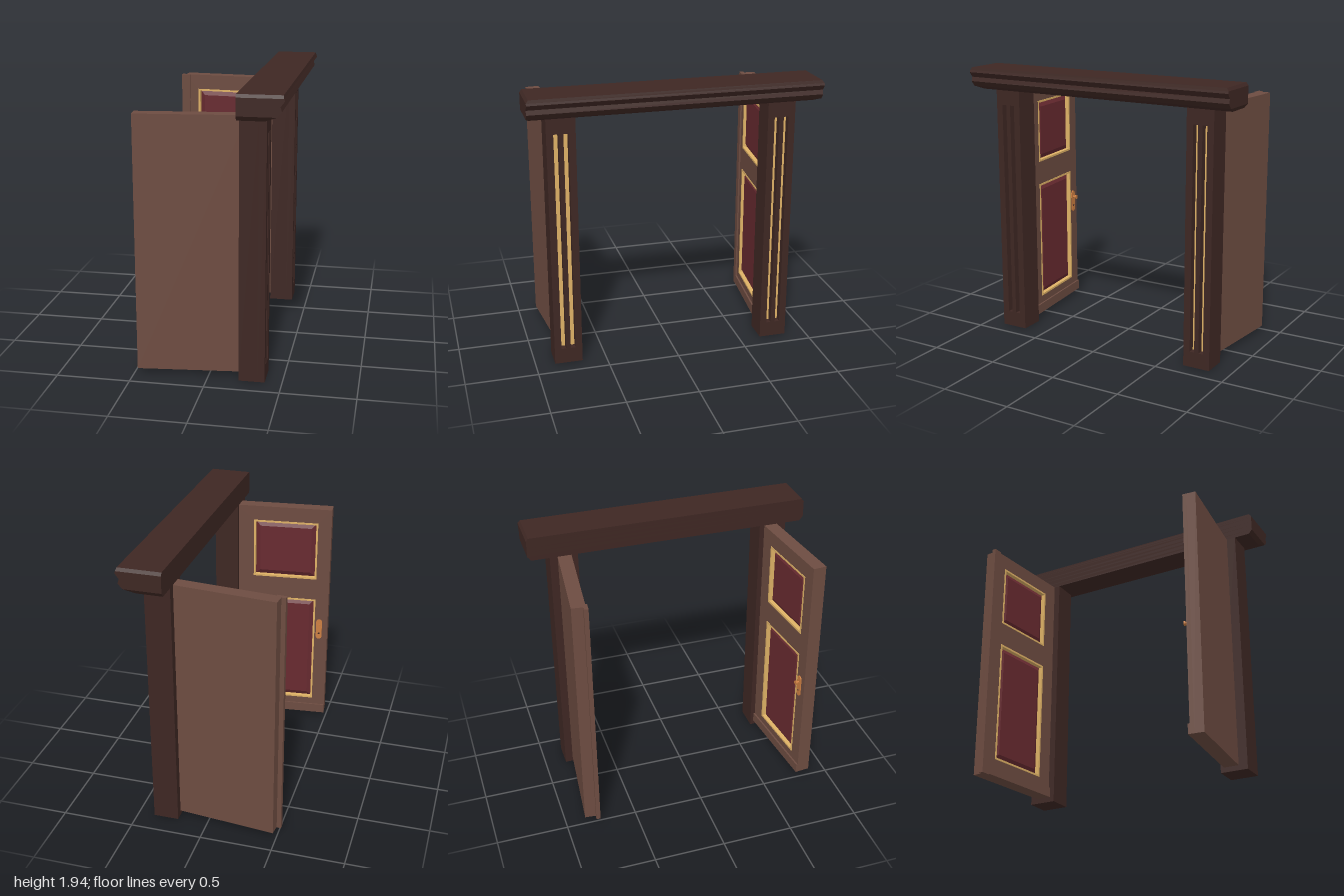
import * as THREE from 'three';

const mat = (color) => new THREE.MeshStandardMaterial({ color, flatShading: true });
const darkWood = mat(0x3e2723), wood = mat(0x6d4c41), red = mat(0x682a30);
const gold = mat(0xdfb266), bronze = mat(0xcd7f42);

function add(parent, name, geometry, material, x = 0, y = 0, z = 0) {
  const mesh = new THREE.Mesh(geometry, material);
  mesh.name = name;
  mesh.position.set(x, y, z);
  parent.add(mesh);
  return mesh;
}

// Box given by its limits on each axis
function addBox(parent, name, material, [x0, x1], [y0, y1], [z0, z1]) {
  return add(parent, name, new THREE.BoxGeometry(Math.abs(x1 - x0), y1 - y0, z1 - z0), material,
    (x0 + x1) / 2, (y0 + y1) / 2, (z0 + z1) / 2);
}

// Stack of rectangles: each level is [y, xMin, xMax, halfDepth]
function rectLoft(levels) {
  const pos = [], idx = [];
  for (const [y, x0, x1, h] of levels) pos.push(x0, y, h, x1, y, h, x1, y, -h, x0, y, -h);
  for (let i = 0; i < levels.length - 1; i++) {
    for (let j = 0; j < 4; j++) {
      const a = i * 4 + j, b = i * 4 + (j + 1) % 4;
      idx.push(a, b, b + 4, a, b + 4, a + 4);
    }
  }
  const t = (levels.length - 1) * 4;
  idx.push(0, 2, 1, 0, 3, 2, t, t + 1, t + 2, t, t + 2, t + 3);
  const g = new THREE.BufferGeometry();
  g.setAttribute('position', new THREE.Float32BufferAttribute(pos, 3));
  g.setIndex(idx);
  const flat = g.toNonIndexed();
  flat.computeVertexNormals();
  return flat;
}

// Rectangular plate with rectangular holes; rectangles are [x0, x1, y0, y1]
function plate(outer, holes, depth) {
  const trace = (path, [x0, x1, y0, y1]) => {
    path.moveTo(x0, y0); path.lineTo(x1, y0); path.lineTo(x1, y1); path.lineTo(x0, y1); path.closePath();
    return path;
  };
  const shape = trace(new THREE.Shape(), outer);
  holes.forEach((h) => shape.holes.push(trace(new THREE.Path(), h)));
  return new THREE.ExtrudeGeometry(shape, { depth, bevelEnabled: false });
}

// Post with two slots whose bottoms are gilded
function makePost(name, z) {
  const post = new THREE.Group();
  post.name = name;
  const half = 0.0975, height = 1.79, face = 0.385, floor = 0.335;
  addBox(post, 'postCore', darkWood, [0.21, floor], [0, height], [-half, half]);
  const slots = [-1, 1].map((s) => [s * 0.033 - 0.017, s * 0.033 + 0.017, 0.11, 1.67]);
  add(post, 'postFace', plate([-half, half, 0, height], slots, face - floor).rotateY(Math.PI / 2),
    darkWood, floor);
  for (const [a, b, y0, y1] of slots) {
    addBox(post, 'goldInlay', gold, [floor - 0.01, floor + 0.003], [y0, y1], [a, b]);
  }
  post.position.z = z;
  return post;
}

// Door leaf: hinge at local x = 0, free edge at x = d * 0.70, panelled face towards +z
function makeDoor(name, d) {
  const door = new THREE.Group();
  door.name = name;
  const L = 0.70, y0 = 0.035, y1 = 1.775, thick = 0.095, recess = 0.03;
  const span = (a, b) => (d > 0 ? [a, b] : [-b, -a]);
  const openings = [[0.16, 1.04], [1.21, 1.665]].map(([a, b]) => [...span(0.115, 0.6), a, b]);
  addBox(door, 'doorBack', wood, span(-0.03, L), [y0, y1], [-thick, -recess]);
  add(door, 'doorFrame', plate([...span(-0.03, L), y0, y1], openings, recess), wood, 0, 0, -recess);
  addBox(door, 'kickRail', wood, span(0, L), [y0, 0.105], [-0.005, 0.012]);

  for (const [a, b, c, e] of openings) {
    const w = (b - a) / 2, h = (e - c) / 2, t = 0.014, bevel = 0.035;
    const cx = (a + b) / 2, cy = (c + e) / 2;
    add(door, 'panelTrim', plate([-w, w, -h, h], [[-w + t, w - t, -h + t, h - t]], recess + 0.003),
      gold, cx, cy, -recess);
    const pw = w - t, ph = h - t;
    add(door, 'raisedPanel', rectLoft([
      [-0.005, -pw, pw, ph], [0.002, -pw, pw, ph],
      [0.022, -pw + bevel, pw - bevel, ph - bevel],
    ]).rotateX(Math.PI / 2), red, cx, cy, -recess);
  }
  return door;
}

// Rounded plate with a knob and a small keyhole boss
function makeHandle() {
  const handle = new THREE.Group();
  handle.name = 'handle';
  const r = 0.023, h = 0.06;
  const s = new THREE.Shape();
  s.absarc(0, h, r, 0, Math.PI);
  s.absarc(0, -h, r, Math.PI, Math.PI * 2);
  s.closePath();
  add(handle, 'handlePlate', new THREE.ExtrudeGeometry(s, { depth: 0.008, bevelEnabled: false, curveSegments: 6 }), bronze);
  const disc = (r0, r1, len) => new THREE.CylinderGeometry(r1, r0, len, 12).rotateX(Math.PI / 2);
  add(handle, 'knobStem', disc(0.008, 0.008, 0.02), bronze, 0, 0.035, 0.015);
  add(handle, 'knob', disc(0.013, 0.017, 0.014), bronze, 0, 0.035, 0.03);
  add(handle, 'keyhole', disc(0.008, 0.006, 0.004), darkWood, 0, -0.035, 0.009);
  return handle;
}

export function createModel() {
  const model = new THREE.Group();
  model.name = 'doubleDoorway';

  model.add(makePost('leftPost', 0.7675), makePost('rightPost', -0.7525));

  // Moulded lintel with chamfered ends
  add(model, 'lintel', rectLoft([
    [1.775, 0.21, 0.385, 0.975], [1.805, 0.21, 0.465, 1], [1.84, 0.21, 0.493, 1],
    [1.87, 0.21, 0.484, 1], [1.905, 0.21, 0.51, 1], [1.92, 0.21, 0.505, 1],
    [1.94, 0.21, 0.5, 0.985],
  ]), darkWood);

  // Leaf with the handle
  const handleDoor = makeDoor('handleDoor', 1);
  const handle = makeHandle();
  handle.position.set(0.635, 0.79, 0);
  handleDoor.add(handle);
  handleDoor.position.set(0.21, 0, 0.705);
  handleDoor.rotation.y = Math.PI + 0.1;

  // Leaf with the overlapping strip on its free edge
  const stripDoor = makeDoor('stripDoor', -1);
  addBox(stripDoor, 'meetingStrip', wood, [-0.73, -0.665], [0.03, 1.775], [-0.018, 0.012]);
  stripDoor.position.set(0.21, 0, -0.7);
  stripDoor.rotation.y = -0.1;

  model.add(handleDoor, stripDoor);
  return model;
}
